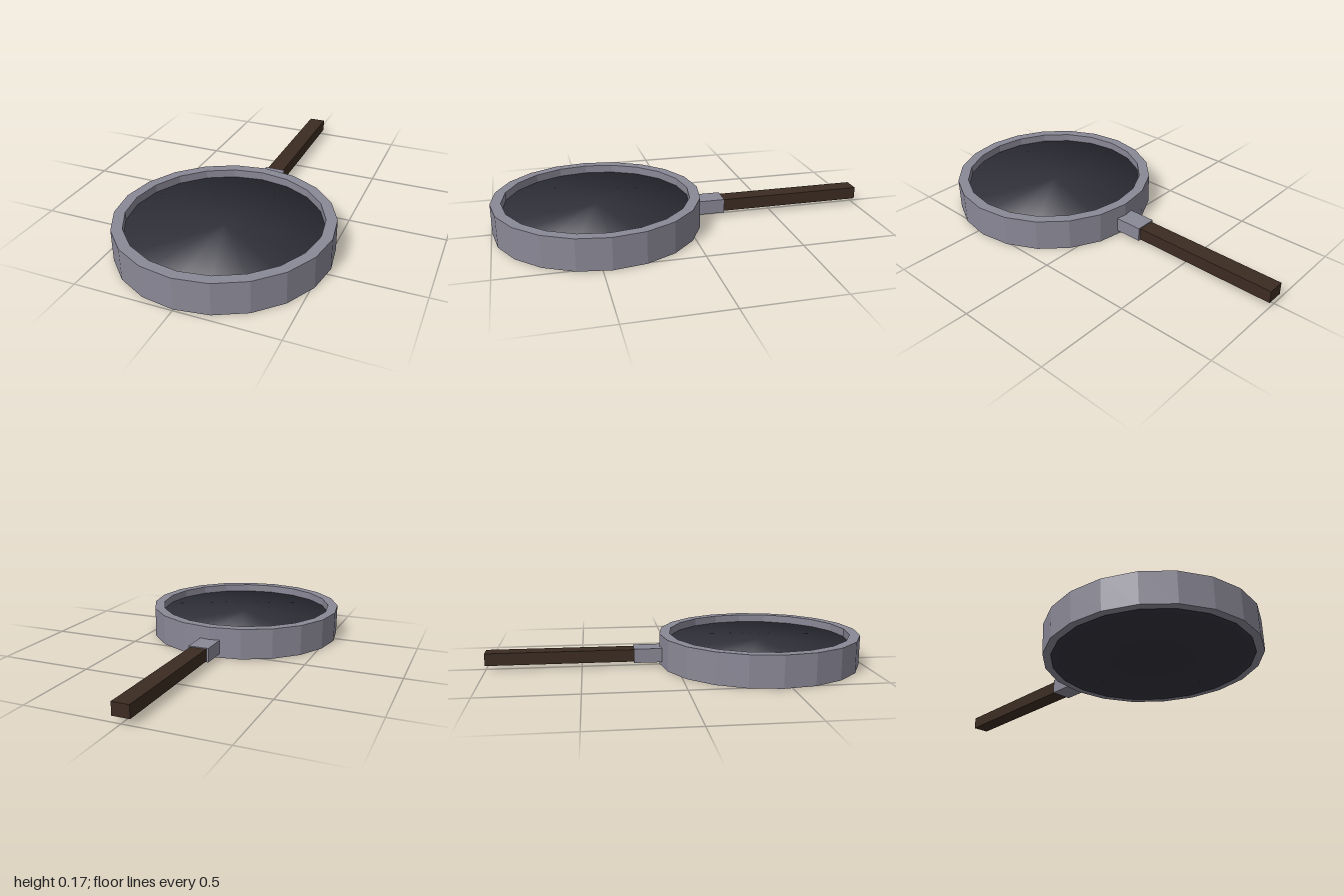
import * as THREE from 'three';

const SIDES = 20;
const CENTRE_Z = 0.455;

function material(name, color) {
  const m = new THREE.MeshStandardMaterial({ color });
  m.name = name;
  return m;
}

function addMesh(group, name, geometry, mat, x, y, z) {
  const mesh = new THREE.Mesh(geometry, mat);
  mesh.name = name;
  mesh.position.set(x, y, z);
  group.add(mesh);
}

// Faceted wall: a rectangular section swept round the centre
function rimGeometry(inner, outer, bottom, top) {
  const section = [[inner, bottom], [outer, bottom], [outer, top], [inner, top], [inner, bottom]]
    .map(([r, y]) => new THREE.Vector2(r, y));
  const geometry = new THREE.LatheGeometry(section, SIDES).toNonIndexed();
  geometry.computeVertexNormals();
  return geometry;
}

// Disc whose edge normals lean out at 45 degrees, so it shades softly
function softDiscGeometry(radius, height) {
  const geometry = new THREE.CylinderGeometry(radius, radius, height, SIDES);
  const { position, normal } = geometry.attributes;
  const n = new THREE.Vector3();
  for (let i = 0; i < position.count; i++) {
    n.set(position.getX(i) / radius, Math.sign(position.getY(i)), position.getZ(i) / radius).normalize();
    normal.setXYZ(i, n.x, n.y, n.z);
  }
  return geometry;
}

export function createModel() {
  const metal = material('grey metal', 0x8a8896);
  const dark = material('dark base', 0x30303a);
  const wood = material('dark wood', 0x3c2c22);
  const model = new THREE.Group();
  model.name = 'pan';

  addMesh(model, 'rim', rimGeometry(0.485, 0.54, 0.002, 0.167), metal, 0, 0, CENTRE_Z);
  addMesh(model, 'base', softDiscGeometry(0.5, 0.125), dark, 0, 0.0625, CENTRE_Z);

  // Collar joins the rim to the handle
  addMesh(model, 'collar', new THREE.BoxGeometry(0.112, 0.075, 0.165), metal, 0, 0.062, -0.1425);
  addMesh(model, 'handle', new THREE.BoxGeometry(0.09, 0.065, 0.8), wood, 0, 0.062, -0.6);
  return model;
}
